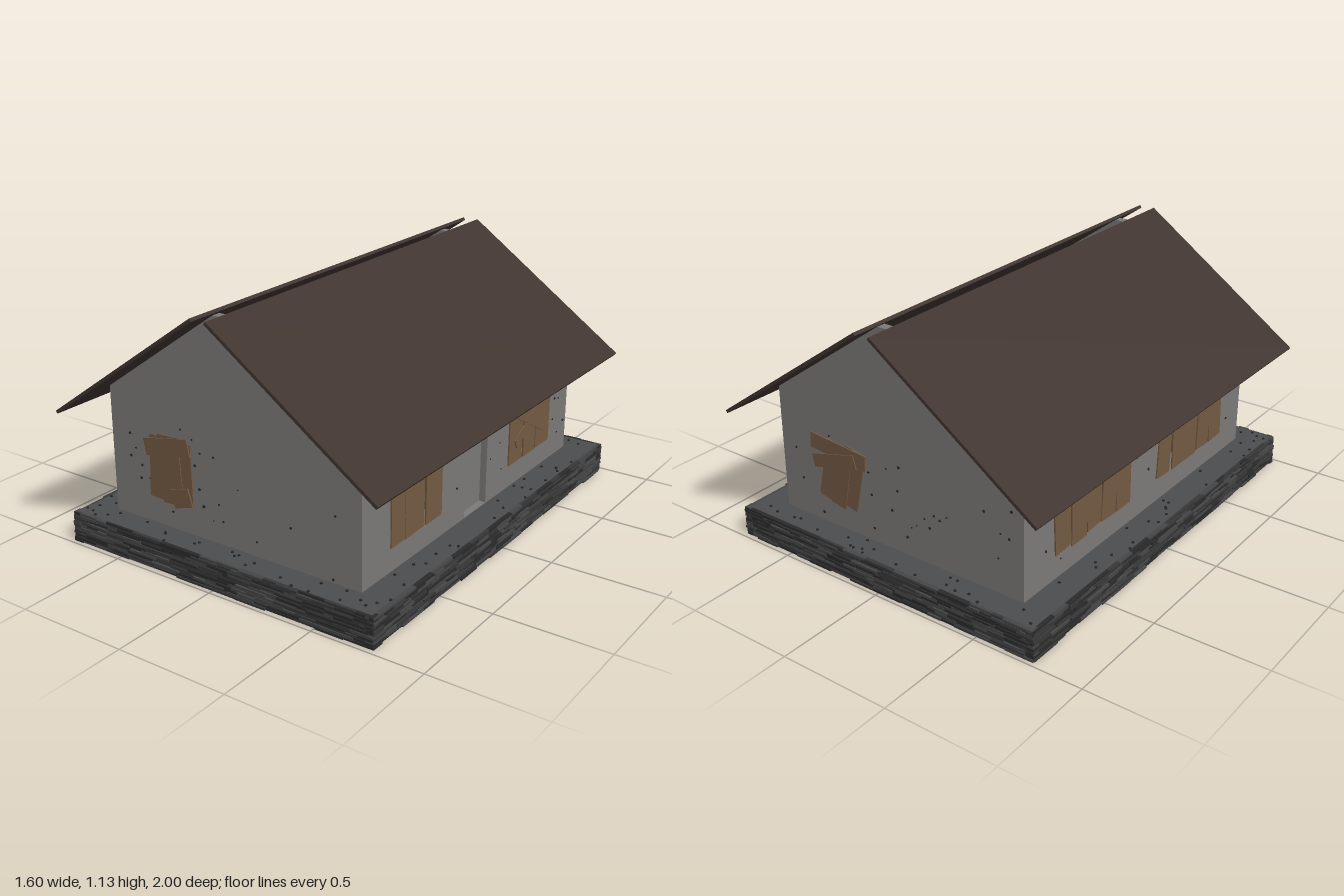
import * as THREE from 'three';
import { mergeGeometries } from 'three/addons/utils/BufferGeometryUtils.js';

const mat = (color) => new THREE.MeshStandardMaterial({ color, flatShading: true });
const plaster = mat(0x7c7a78);
const wood = mat(0x735a43);
const roofing = mat(0x40342f);
const dark = mat(0x262626);
const slab = mat(0x4b4d4e);
const stones = [mat(0x2b2b2b), mat(0x383838), mat(0x464646)];

let seed = 7;
const rnd = (a = 0, b = 1) => {
  seed = (seed * 16807) % 2147483647;
  return a + (b - a) * (seed / 2147483647);
};

const HX = 0.63, HZ = 0.85, BASE = 0.135, EAVE = 0.7, T = 0.04;

function add(parent, name, geometry, material, x = 0, y = 0, z = 0) {
  const m = new THREE.Mesh(geometry, material);
  m.name = name;
  m.position.set(x, y, z);
  parent.add(m);
  return m;
}

// Wall panel from an outline with rectangular holes [x0, x1, y0, y1]; outer face at z = 0
function panel(points, holes) {
  const shape = new THREE.Shape(points.map(([x, y]) => new THREE.Vector2(x, y)));
  for (const [x0, x1, y0, y1] of holes) {
    shape.holes.push(new THREE.Path([[x0, y0], [x0, y1], [x1, y1], [x1, y0]]
      .map(([x, y]) => new THREE.Vector2(x, y))));
  }
  return new THREE.ExtrudeGeometry(shape, { depth: T, bevelEnabled: false }).translate(0, 0, -T);
}

// One nailed plank: centre, width, height, tilt and layer outwards
function plank(parent, [x, y, w, h, tilt = 0, layer = 0]) {
  const p = add(parent, 'windowPlank', new THREE.BoxGeometry(w, h, 0.006), wood, x, y, 0.004 + layer * 0.004);
  p.rotation.z = tilt;
}

// Small dark pits on a wall
function pits(parent, spots) {
  const parts = spots.map(([x, y]) => {
    const r = rnd(0.003, 0.007);
    return new THREE.CylinderGeometry(r, r, 0.004, 6).rotateX(Math.PI / 2).translate(x, y, 0.001);
  });
  add(parent, 'wallPits', mergeGeometries(parts), dark);
}

const scatter = (n, half) => Array.from({ length: n }, () => [rnd(-half, half), rnd(0.17, 0.55)]);

function wall(house, name, angle, dist) {
  const g = new THREE.Group();
  g.name = name;
  g.rotation.y = angle;
  g.position.set(Math.sin(angle) * dist, 0, Math.cos(angle) * dist);
  house.add(g);
  return g;
}

function foundation(house) {
  const g = new THREE.Group();
  g.name = 'foundation';
  house.add(g);
  const X = 0.768, Z = 0.978, rows = 12, rh = BASE / rows;
  add(g, 'foundationSlab', new THREE.BoxGeometry(2 * X - 0.03, BASE, 2 * Z - 0.03), slab, 0, BASE / 2, 0);
  add(g, 'foundationUnderside', new THREE.BoxGeometry(2 * X - 0.01, 0.006, 2 * Z - 0.01), stones[0], 0, 0.003, 0);
  // Thin rough stones laid in courses around the edge
  const lots = stones.map(() => []);
  for (let side = 0; side < 4; side++) {
    const along = side % 2 ? Z : X, out = side % 2 ? X : Z;
    for (let r = 0; r < rows; r++) {
      for (let s = -along; s < along - 0.005;) {
        const w = Math.min(rnd(0.05, 0.16), along - s);
        const d = rnd(0.03, 0.042);
        const b = new THREE.BoxGeometry(w, rh * rnd(0.85, 1), d);
        b.translate(s + w / 2, (r + 0.5) * rh, out - 0.036 + d / 2);
        b.rotateY(side * Math.PI / 2);
        lots[Math.floor(rnd(0, 2.999))].push(b);
        s += w;
      }
    }
  }
  lots.forEach((l, i) => add(g, 'edgeStones', mergeGeometries(l), stones[i]));
  // Pebbles lying on the ledge around the walls
  const pebbles = [];
  for (let i = 0; i < 90; i++) {
    const onEnd = i % 2, sign = i % 4 < 2 ? 1 : -1;
    const x = onEnd ? rnd(-0.75, 0.75) : sign * rnd(0.65, 0.75);
    const z = onEnd ? sign * rnd(0.87, 0.96) : rnd(-0.95, 0.95);
    pebbles.push(new THREE.CylinderGeometry(0.006, 0.006, 0.006, 6).translate(x, BASE + 0.002, z));
  }
  add(g, 'pebbles', mergeGeometries(pebbles), dark);
  add(g, 'floor', new THREE.BoxGeometry(2 * HX - 0.06, 0.01, 2 * HZ - 0.07), mat(0x3a3733), 0, BASE + 0.003, 0);
}

export function createModel() {
  const house = new THREE.Group();
  house.name = 'boardedHouse';
  foundation(house);

  // Gable walls, each with one boarded window
  const top = 1.1, tx = HX - (top - EAVE) / 0.7;
  const gable = [[-HX, BASE], [HX, BASE], [HX, EAVE], [tx, top], [-tx, top], [-HX, EAVE]];
  const front = wall(house, 'frontWall', 0, HZ);
  const back = wall(house, 'backWall', Math.PI, HZ);
  for (const g of [front, back]) add(g, 'gableWall', panel(gable, [[-0.37, -0.23, 0.29, 0.5]]), plaster);
  [
    [-0.37, 0.395, 0.1, 0.28, -0.05],
    [-0.245, 0.4, 0.1, 0.27, 0.02],
    [-0.305, 0.4, 0.11, 0.3, 0.06, 1],
    [-0.32, 0.5, 0.24, 0.075, 0.2, 2],
    [-0.25, 0.29, 0.1, 0.08, 0.3, 2],
  ].forEach((p) => plank(front, p));
  [
    [-0.34, 0.39, 0.11, 0.28, -0.22],
    [-0.24, 0.39, 0.11, 0.28, -0.22],
    [-0.29, 0.38, 0.08, 0.28, -0.18, 1],
    [-0.3, 0.5, 0.3, 0.07, -0.08, 2],
    [-0.32, 0.45, 0.24, 0.06, 0.25, 3],
  ].forEach((p) => plank(back, p));
  pits(front, [[-0.53, 0.51], [-0.53, 0.41], [-0.5, 0.45], [-0.47, 0.38], [-0.48, 0.32], [-0.43, 0.33],
    [-0.38, 0.53], [-0.25, 0.59], [-0.19, 0.56], [-0.15, 0.51], [-0.08, 0.51], [-0.18, 0.45], [-0.16, 0.35],
    [-0.14, 0.28], [-0.06, 0.31], [-0.04, 0.24], [-0.09, 0.23], [-0.31, 0.21], [0.04, 0.4], [0.13, 0.2],
    [0.3, 0.31], [0.51, 0.42], [0.5, 0.15]]);
  pits(back, scatter(26, 0.58));

  // Long walls
  const L = HZ - T;
  const strip = [[-L, BASE], [L, BASE], [L, EAVE], [-L, EAVE]];
  const right = wall(house, 'rightWall', Math.PI / 2, HX);
  const left = wall(house, 'leftWall', -Math.PI / 2, HX);
  add(right, 'longWall', panel(strip, [[-0.62, -0.33, 0.27, 0.52], [0.32, 0.62, 0.27, 0.52], [-0.09, 0.09, BASE + 0.004, 0.46]]), plaster);
  add(left, 'longWall', panel(strip, [[-0.6, -0.18, 0.28, 0.5], [0.18, 0.6, 0.28, 0.5]]), plaster);
  // Recessed door
  add(right, 'door', new THREE.BoxGeometry(0.18, 0.325, 0.01), plaster, 0, BASE + 0.1625, -0.035);

  // Upright planks over the right-hand windows
  [[-0.61, 0.1], [-0.535, 0.06], [-0.4625, 0.08], [-0.352, 0.12]].forEach(([x, w], i) =>
    plank(right, [x, 0.395, w, 0.31, 0, i % 2 ? 0.5 : 0]));
  plank(right, [-0.5, 0.395, 0.16, 0.3, 0, -0.6]);
  [[0.34, 0.12], [0.465, 0.11], [0.595, 0.13]].forEach(([x, w], i) =>
    plank(right, [x, 0.395, w, 0.31, 0, i % 2 ? 0.5 : 0]));
  plank(right, [0.47, 0.4, 0.31, 0.045, 0.5, 1.2]);
  plank(right, [0.47, 0.4, 0.31, 0.045, -0.5, 2]);
  pits(right, [[-0.71, 0.49], [-0.15, 0.48], [-0.16, 0.3], [-0.03, 0.48], [0.12, 0.33], [0.2, 0.38],
    [0.22, 0.25], [0.71, 0.32], [0.72, 0.42], [0.76, 0.41], [0.76, 0.24], [0.82, 0.28]]);

  // Slightly leaning planks over the wider left-hand windows
  for (const c of [-0.385, 0.385]) {
    for (let i = 0; i < 5; i++) {
      plank(left, [c + (i - 2) * 0.11, 0.393, 0.105, rnd(0.29, 0.31), rnd(-0.08, 0.08), i % 2]);
    }
  }
  pits(left, scatter(20, 0.78));

  // Two roof sheets leaving a narrow gap at the ridge
  const slope = Math.atan2(0.537, 0.765);
  for (const s of [1, -1]) {
    const sheet = add(house, s > 0 ? 'leftRoof' : 'rightRoof',
      new THREE.BoxGeometry(0.93, 0.014, 2), roofing, s * 0.4145, 0.857, 0);
    sheet.rotation.z = -s * slope;
  }
  return house;
}
